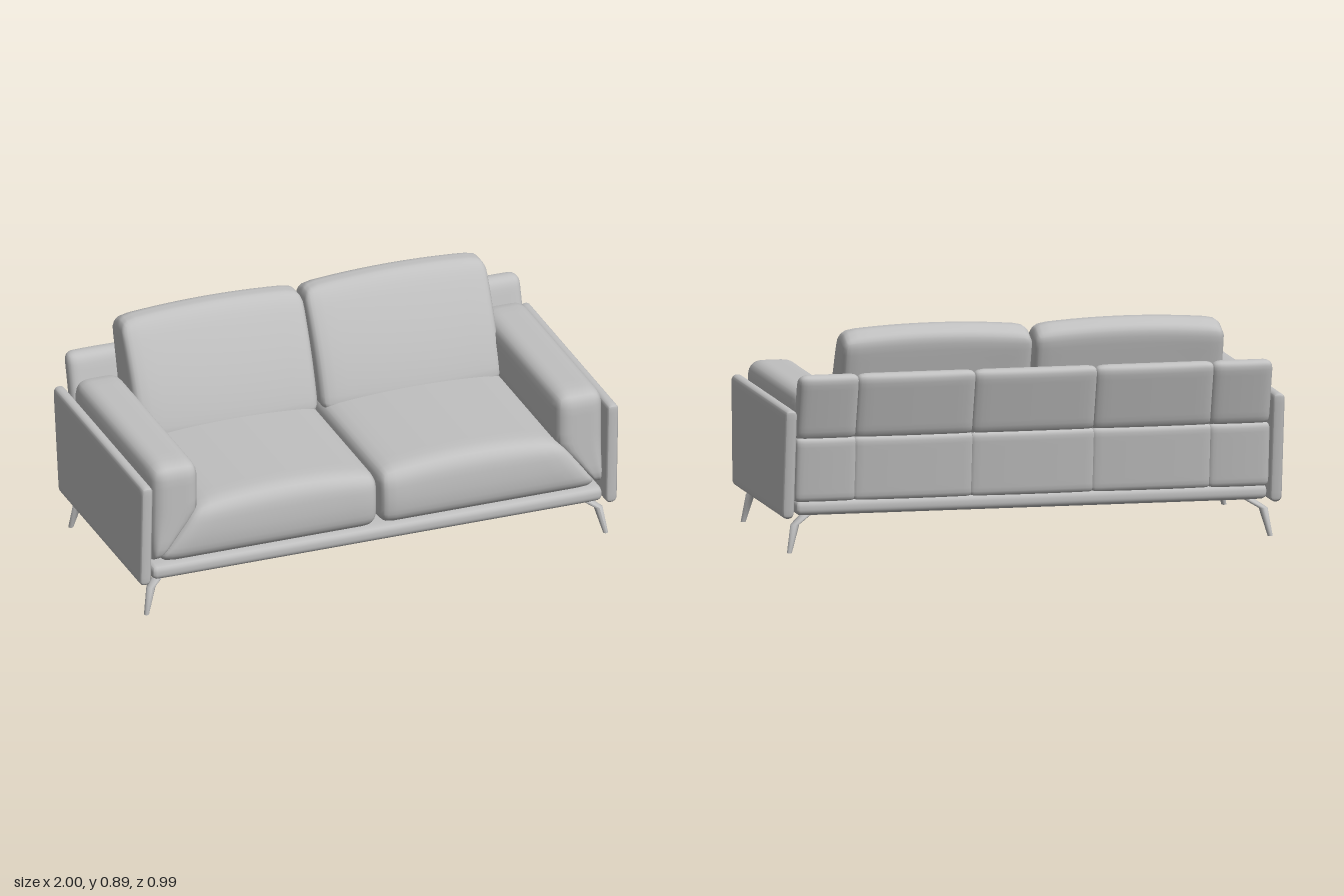
import * as THREE from 'three';
import { mergeVertices } from 'three/addons/utils/BufferGeometryUtils.js';

const upholstery = new THREE.MeshStandardMaterial({ color: 0xc0c0c0 });
upholstery.name = 'greyUpholstery';

// Rounded, finely divided block; rule(p, u) bends it (u = position in -1..1)
function softBlock(centre, size, radius, rule = () => {}) {
  let g = new THREE.BoxGeometry(2, 2, 2, 16, 16, 16);
  g.deleteAttribute('uv');
  g.deleteAttribute('normal');
  g = mergeVertices(g);
  const pos = g.attributes.position;
  const half = new THREE.Vector3(...size).multiplyScalar(0.5);
  const inner = half.clone().subScalar(radius);
  const p = new THREE.Vector3(), core = new THREE.Vector3(), c = new THREE.Vector3(...centre);
  for (let i = 0; i < pos.count; i++) {
    p.fromBufferAttribute(pos, i);
    // crowd the divisions towards the edges
    p.set(...p.toArray().map(a => Math.sin(a * Math.PI / 2))).multiply(half);
    core.copy(p).clamp(inner.clone().negate(), inner);
    p.sub(core);
    if (p.lengthSq() > 1e-12) p.setLength(radius);
    p.add(core);
    const u = p.clone().divide(half);
    p.add(c);
    rule(p, u);
    pos.setXYZ(i, p.x, p.y, p.z);
  }
  g.computeVertexNormals();
  return g;
}

// Mirror across x = 0, keeping faces outward
function mirrored(g) {
  const m = g.clone().scale(-1, 1, 1);
  const a = m.index.array;
  for (let i = 0; i < a.length; i += 3) [a[i], a[i + 1]] = [a[i + 1], a[i]];
  m.computeVertexNormals();
  return m;
}

// Tapered leg bent outwards at the knee
function leg(z0, z1, z2) {
  const rings = [
    { x: 0.962, y: 0, z: z2, r: 0.01 },
    { x: 0.937, y: 0.11, z: z1, r: 0.018 },
    { x: 0.865, y: 0.155, z: z0, r: 0.024 },
  ];
  const g = new THREE.CylinderGeometry(1, 1, 2, 12, 2);
  const pos = g.attributes.position;
  for (let i = 0; i < pos.count; i++) {
    const k = rings[Math.round(pos.getY(i)) + 1];
    pos.setXYZ(i, k.x + pos.getX(i) * k.r, k.y, k.z + pos.getZ(i) * k.r);
  }
  g.computeVertexNormals();
  return g;
}

export function createModel() {
  const sofa = new THREE.Group();
  sofa.name = 'sofa';
  const add = (name, g) => {
    const mesh = new THREE.Mesh(g, upholstery);
    mesh.name = name;
    sofa.add(mesh);
  };
  const addPair = (name, g) => {
    add('left' + name, g);
    add('right' + name, mirrored(g));
  };

  // Base frame
  add('baseFrame', softBlock([0, 0.18, 0.03], [1.89, 0.064, 0.87], 0.028));

  // Thin outer side panels, wider at the top
  addPair('SidePanel', softBlock([0.976, 0.358, 0], [0.048, 0.436, 2], 0.022, (p, u) => {
    const t = (u.y + 1) / 2;
    const end = u.z > 0 ? 0.47 + 0.02 * t : 0.405 + 0.06 * t;
    p.z *= end;
  }));

  // Armrests, narrowing towards the bottom
  addPair('Armrest', softBlock([0.848, 0.435, 0.038], [0.2, 0.412, 0.876], 0.06, p => {
    const s = Math.max(0, (0.42 - p.y) / 0.18);
    p.x = THREE.MathUtils.lerp(p.x, 0.945, Math.min(0.85, 0.8 * s));
  }));

  // Seat cushions, crowned on top and spreading under the arms
  addPair('SeatCushion', softBlock([0.382, 0.335, 0.085], [0.756, 0.235, 0.79], 0.055, (p, u) => {
    const crown = 1 - u.x * u.x;
    if (u.y > 0) p.y += 0.028 * crown * u.y;
    if (u.x > 0) p.x += 0.18 * u.x * (1 - u.y) / 2;
    if (u.z > 0) p.z += 0.018 * (1 - u.y * u.y) * u.z;
  }));

  // Leaning back cushions, thinner at the top
  addPair('BackCushion', softBlock([0.384, 0.645, 0], [0.76, 0.45, 0.25], 0.05, (p, u) => {
    const t = (u.y + 1) / 2, crown = 1 - u.x * u.x;
    const back = -0.36 - 0.105 * t;
    const depth = 0.235 - 0.095 * t * t + (u.z > 0 ? 0.018 * crown * (1 - t * t) : 0);
    p.z = back + depth * (u.z + 1) / 2;
    p.y += t * t * (0.02 * crown + (u.z < 0 ? 0.035 * u.z : 0));
  }));

  // Backrest: two rows of five padded panels
  const seams = [-0.95, -0.71, -0.243, 0.243, 0.71, 0.95];
  const rows = [
    { name: 'lowerBackPanel', y0: 0.2, y1: 0.46, z0: -0.365, z1: -0.395, r: 0.025 },
    { name: 'upperBackPanel', y0: 0.445, y1: 0.715, z0: -0.385, z1: -0.462, r: 0.036 },
  ];
  for (const row of rows) {
    for (let i = 0; i < 5; i++) {
      const a = seams[i] - (i > 0 ? 0.008 : 0), b = seams[i + 1] + (i < 4 ? 0.008 : 0);
      const g = softBlock([(a + b) / 2, (row.y0 + row.y1) / 2, 0],
        [b - a, row.y1 - row.y0, 0.076], row.r, (p, u) => {
          p.z += THREE.MathUtils.lerp(row.z0, row.z1, (u.y + 1) / 2);
          if (u.z < 0) p.z += 0.006 * u.z * (1 - u.x * u.x);
        });
      add(row.name + (i + 1), g);
    }
  }

  // Legs
  addPair('FrontLeg', leg(0.372, 0.424, 0.44));
  addPair('RearLeg', leg(-0.3, -0.352, -0.366));
  return sofa;
}
